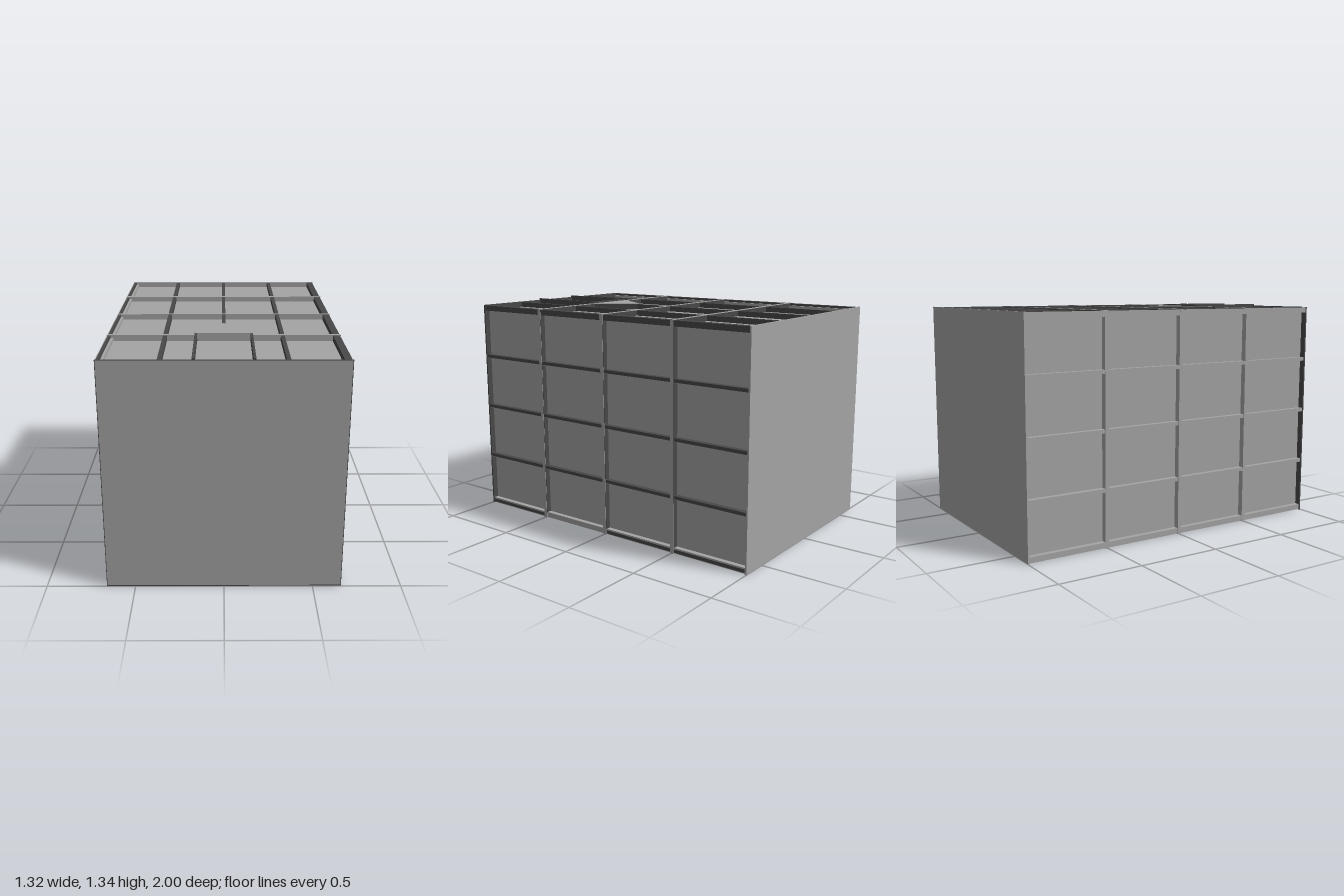
import * as THREE from 'three';

const W = 0.661, H = 1.333, D = 1, DEPTH = 0.034, R = 0.011;
const CX = W - DEPTH, CY = H - DEPTH; // faces of the recessed core

export function createModel() {
  const group = new THREE.Group();
  const grey = new THREE.MeshStandardMaterial({ color: 0xa4a4a4, flatShading: true });
  const dark = new THREE.MeshStandardMaterial({ color: 0x484848, flatShading: true });

  // box given by its lower and upper corners
  const box = (name, mat, x0, x1, y0, y1, z0, z1) => {
    const m = new THREE.Mesh(new THREE.BoxGeometry(x1 - x0, y1 - y0, z1 - z0), mat);
    m.position.set((x0 + x1) / 2, (y0 + y1) / 2, (z0 + z1) / 2);
    m.name = name;
    group.add(m);
  };

  // recessed core and flat end plates, the front one on a dark backing that shows as a rim
  box('corePanels', grey, -CX, CX, DEPTH, CY, -D + 0.005, D - 0.005);
  box('frontPlate', grey, -W + 0.003, W - 0.003, 0.008, H - 0.003, D - 0.006, D);
  box('frontPlateBacking', dark, -W - 0.001, W + 0.001, 0, H, D - 0.012, D - 0.003);
  box('backPlate', grey, -W, W, 0, H, -D, -D + 0.01);

  // corner rails running the whole length
  const z0 = -D + 0.005, z1 = D - 0.008;
  box('leftTopRail', dark, CX - 0.01, W - 0.004, CY - 0.002, H - 0.003, z0, z1);
  box('rightTopRail', grey, -W + 0.004, -CX + 0.002, CY - 0.002, H - 0.016, z0, z1);
  box('rightTopRailCap', dark, -W + 0.004, -W + 0.021, H - 0.017, H - 0.003, z0, z1);
  box('rightTopRailLip', grey, -W + 0.001, -W + 0.005, CY, H - 0.002, z0, z1);
  box('rightBottomRail', grey, -W + 0.003, -CX + 0.002, 0.003, DEPTH + 0.002, z0, z1);
  box('leftBottomRail', grey, CX - 0.002, W - 0.005, 0.003, DEPTH + 0.002, z0, z1);
  for (const [a, b] of [[z0, 0], [0.5, z1]]) {
    box('leftBottomRailStrip', dark, W - 0.006, W - 0.003, 0.008, 0.027, a, b);
  }

  // hoops around the body, with dark rear faces on the top and left bars
  for (const z of [-0.505, 0, 0.5]) {
    const a = z - R, b = z + R, c = a - 0.002;
    box('hoopTop', grey, -W, W, CY - 0.002, H, a, b);
    box('hoopBottom', grey, -W, W, 0, DEPTH + 0.002, a, b);
    box('hoopLeft', grey, CX - 0.002, W, DEPTH, CY, a, b);
    box('hoopRight', grey, -W, -CX + 0.002, DEPTH, CY, a, b);
    box('hoopTopRear', dark, -W + 0.004, W - 0.002, CY - 0.002, H - 0.002, c, z);
    box('hoopLeftRear', dark, CX - 0.002, W - 0.002, DEPTH, CY, c, z);
  }

  // lengthwise ribs on both sides; the left ones are dark with a grey underside
  for (const y of [0.335, 0.67, 1.0]) {
    box('leftSideRib', dark, CX - 0.002, W - 0.003, y - R + 0.003, y + R, z0, z1);
    box('leftSideRibUnderside', grey, CX - 0.002, W - 0.004, y - R, y, z0, z1);
    box('rightSideRib', grey, -W + 0.003, -CX + 0.002, y - R, y + R, z0, z1);
  }

  // lengthwise ribs on the top and bottom; the middle top one stops at the wedge
  for (const x of [-0.333, 0, 0.333]) {
    box('topRib', dark, x - R, x + R, CY - 0.002, H - 0.003, z0, x === 0 ? 0.26 : z1);
    box('bottomRib', grey, x - R, x + R, 0.003, DEPTH + 0.002, z0, z1);
  }

  // raised frame at the front of the roof
  const top = 1.343;
  for (const s of [-1, 1]) {
    box('roofFrameRail', dark, s * 0.158 - 0.007, s * 0.158 + 0.007, CY - 0.002, top, 0.5, D - 0.001);
  }
  box('roofFrameBar', dark, -0.164, 0.164, CY - 0.002, top, 0.499, 0.516);
  box('roofFrameBarFace', grey, -0.15, 0.15, CY - 0.002, top - 0.001, 0.51, 0.518);

  // triangular wedge behind the frame, dark with a grey cap
  const tri = new THREE.Shape([
    new THREE.Vector2(-0.17, -0.5), new THREE.Vector2(0.17, -0.5), new THREE.Vector2(0, -0.235),
  ]);
  const wedge = (name, mat, y, depth) => {
    const geo = new THREE.ExtrudeGeometry(tri, { depth, bevelEnabled: false }).rotateX(-Math.PI / 2);
    const m = new THREE.Mesh(geo, mat);
    m.position.y = y;
    m.name = name;
    group.add(m);
  };
  wedge('roofWedge', dark, CY - 0.002, DEPTH);
  wedge('roofWedgeCap', grey, H - 0.002, 0.003);

  return group;
}
